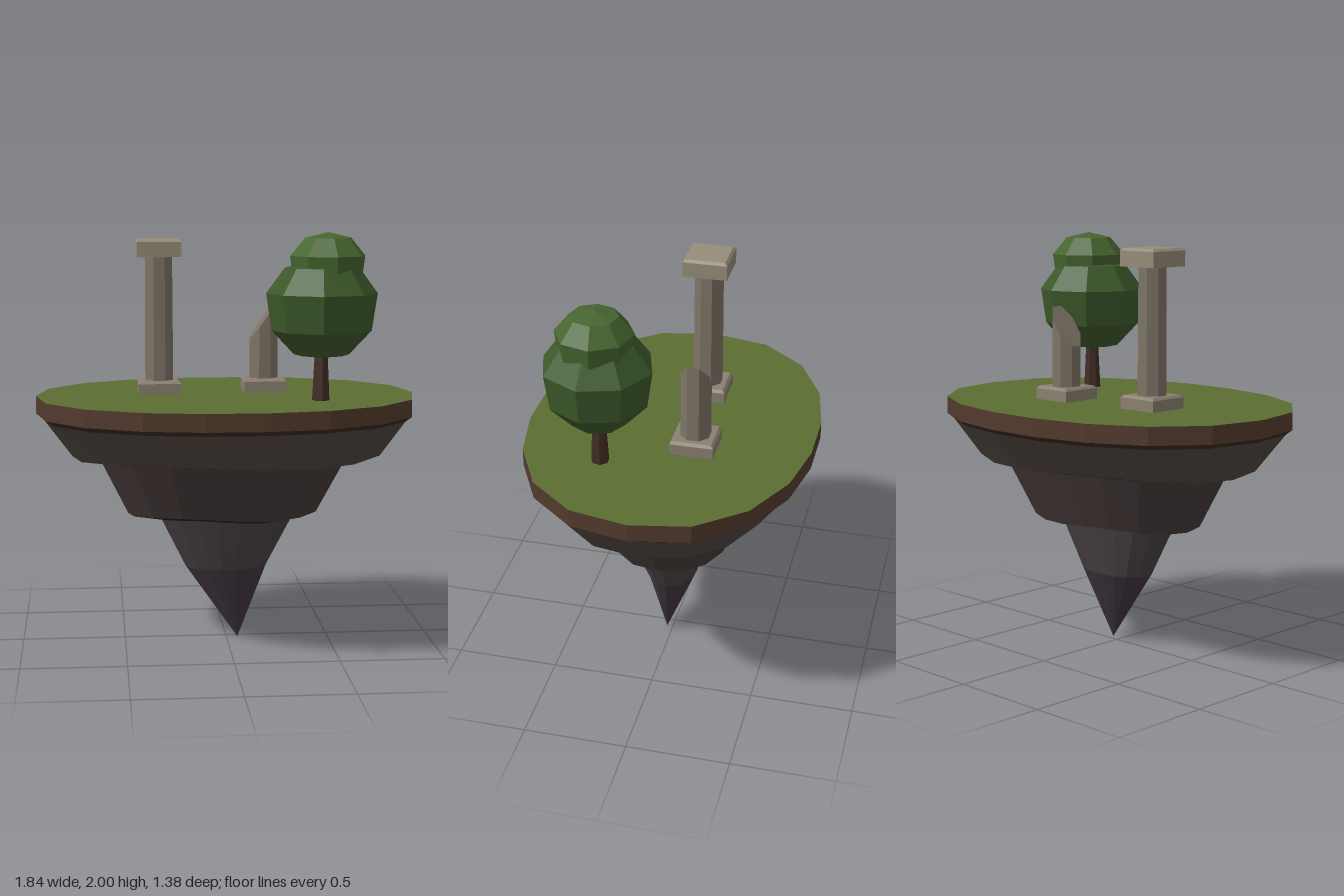
import * as THREE from 'three';

const SIDES = 18;
// One quarter of the island outline, mirrored to all four quadrants
const QUARTER = [[0.92, 0], [0.865, 0.28], [0.685, 0.5], [0.425, 0.633], [0.143, 0.687]];
const half = [...QUARTER, ...QUARTER.slice(1).reverse().map(([x, z]) => [-x, z]), [-0.92, 0]];
const OUTLINE = [...half, ...half.slice(1, -1).reverse().map(([x, z]) => [x, -z])];

function makeMesh(name, geometry, color) {
  const material = new THREE.MeshStandardMaterial({ color, flatShading: true });
  const mesh = new THREE.Mesh(geometry, material);
  mesh.name = name;
  return mesh;
}

// Island cross-section, fitted to its extents, with a slightly wavy height
function ring({ y, x, z, wave = 0 }) {
  return OUTLINE.map(([u, v], i) => new THREE.Vector3(
    (x[0] + x[1]) / 2 + (u / 0.92) * (x[1] - x[0]) / 2,
    y + wave * Math.cos((i / SIDES) * Math.PI * 6),
    (z[0] + z[1]) / 2 + (v / 0.687) * (z[1] - z[0]) / 2
  ));
}

// Faceted band between an upper and a lower cross-section
function band(name, upper, lower, color) {
  const a = ring(upper), b = ring(lower), points = [];
  for (let i = 0; i < SIDES; i++) {
    const j = (i + 1) % SIDES;
    points.push(a[i], a[j], b[i], a[j], b[j], b[i]);
  }
  const geometry = new THREE.BufferGeometry().setFromPoints(points);
  geometry.computeVertexNormals();
  return makeMesh(name, geometry, color);
}

// Faceted turned shape from [radius, y] pairs, bottom to top
function turned(name, profile, sides, start, color) {
  const points = profile.map(([r, y]) => new THREE.Vector2(r, y));
  return makeMesh(name, new THREE.LatheGeometry(points, sides, start), color);
}

// Square stone slab with a bevelled top edge
function slab(name, width, y0, y1, color) {
  const r = width * Math.SQRT1_2, bevel = 0.012;
  return turned(name, [[0, y0], [r, y0], [r, y1 - bevel], [r - bevel * 1.4, y1], [0, y1]],
    4, Math.PI / 4, color);
}

function buildIsland() {
  const island = new THREE.Group();
  island.name = 'island';
  const s = {
    centre: { y: 1.21, x: [0, 0], z: [0, 0] },
    edge: { y: 1.21, x: [-0.92, 0.92], z: [-0.688, 0.688] },
    rimLow: { y: 1.125, x: [-0.92, 0.92], z: [-0.688, 0.688] },
    rimUnder: { y: 1.103, x: [-0.89, 0.89], z: [-0.66, 0.66] },
    upperLow: { y: 0.925, x: [-0.748, 0.77], z: [-0.52, 0.52], wave: 0.012 },
    middleTop: { y: 0.905, x: [-0.615, 0.605], z: [-0.43, 0.405], wave: 0.01 },
    middleLow: { y: 0.635, x: [-0.48, 0.46], z: [-0.31, 0.28], wave: 0.01 },
    spikeTop: { y: 0.61, x: [-0.32, 0.335], z: [-0.18, 0.2], wave: 0.008 },
    spikeMid: { y: 0.36, x: [-0.2, 0.2], z: [-0.12, 0.125] },
    tip: { y: 0, x: [0.055, 0.055], z: [0.03, 0.03] },
  };
  island.add(
    band('grass', s.centre, s.edge, 0x5c6d32),
    band('soilRim', s.edge, s.rimLow, 0x533a2d),
    band('soilUnderside', s.rimLow, s.rimUnder, 0x3a2a22),
    band('upperCliff', s.rimUnder, s.upperLow, 0x504740),
    band('upperLedge', s.upperLow, s.middleTop, 0x252227),
    band('middleCliff', s.middleTop, s.middleLow, 0x453a39),
    band('lowerLedge', s.middleLow, s.spikeTop, 0x252227),
    band('rockSpike', s.spikeTop, s.spikeMid, 0x4a4144),
    band('rockTip', s.spikeMid, s.tip, 0x403640)
  );
  return island;
}

function buildColumn() {
  const column = new THREE.Group();
  column.name = 'column';
  column.add(
    slab('columnBase', 0.208, 1.205, 1.275, 0x8a8070),
    turned('columnShaft', [[0.073, 1.27], [0.07, 1.88]], 8, Math.PI / 8, 0x7d7466),
    slab('columnCapital', 0.214, 1.875, 1.96, 0x968c79)
  );
  column.position.set(-0.32, 0, -0.09);
  return column;
}

function buildBrokenColumn() {
  const broken = new THREE.Group();
  broken.name = 'brokenColumn';
  // Shaft whose top is cut by a plane falling towards -x
  const shaft = new THREE.CylinderGeometry(0.073, 0.073, 0.3, 8).rotateY(Math.PI / 8);
  const p = shaft.attributes.position;
  for (let i = 0; i < p.count; i++) {
    p.setY(i, p.getY(i) > 0 ? 1.565 + 1.38 * p.getX(i) : 1.27);
  }
  shaft.computeVertexNormals();
  broken.add(
    slab('brokenColumnBase', 0.208, 1.205, 1.275, 0x8a8070),
    makeMesh('brokenShaft', shaft, 0x7d7466)
  );
  broken.position.set(0.2, 0, -0.147);
  return broken;
}

function buildTree() {
  const tree = new THREE.Group();
  tree.name = 'tree';
  const trunk = turned('trunk', [[0.043, 1.205], [0.03, 1.46]], 7, 0, 0x422d24);
  const lower = turned('lowerFoliage',
    [[0, 1.41], [0.13, 1.427], [0.236, 1.54], [0.262, 1.715], [0.175, 1.835], [0, 1.88]],
    8, -0.1, 0x3c592a);
  const upper = turned('upperFoliage',
    [[0, 1.7], [0.11, 1.715], [0.168, 1.785], [0.182, 1.89], [0.112, 1.974], [0, 2]],
    8, 0.12, 0x46652f);
  upper.position.set(0.026, 0, 0.002);
  tree.add(trunk, lower, upper);
  tree.position.set(0.432, 0, 0.255);
  return tree;
}

export function createModel() {
  const model = new THREE.Group();
  model.name = 'floatingIsland';
  model.add(buildIsland(), buildColumn(), buildBrokenColumn(), buildTree());
  return model;
}
